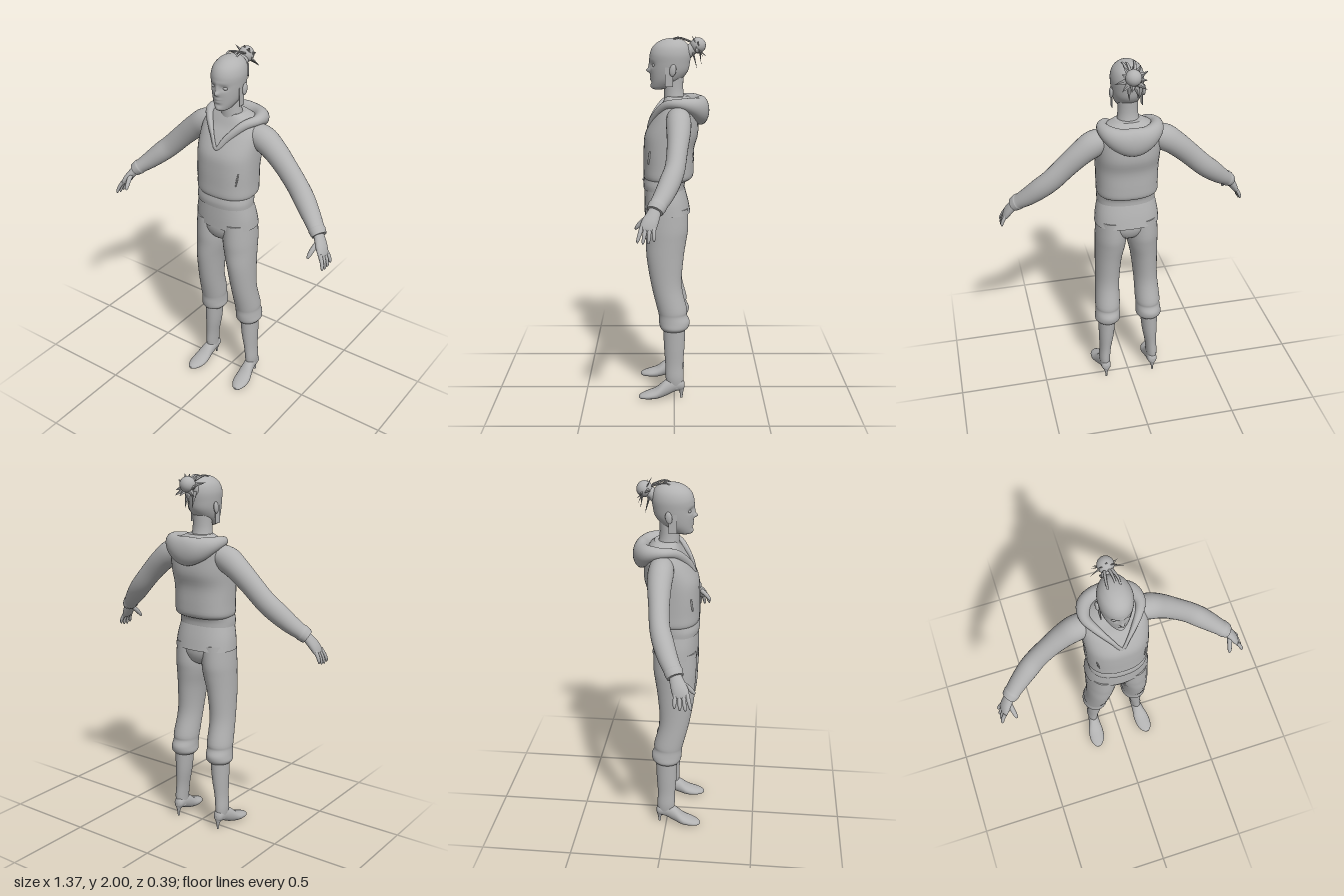
import * as THREE from 'three';

const grey = new THREE.MeshStandardMaterial({ color: 0xb2b2b2 });
grey.name = 'grey';
grey.side = THREE.DoubleSide;

const UP = new THREE.Vector3(0, 1, 0);
const FORWARD = new THREE.Vector3(0, 0, 1);

// Smooth interpolation of a list of number rows
function refine(rows, steps, closed) {
  const n = rows.length, out = [];
  const at = (i) => rows[closed ? (i + n) % n : Math.min(Math.max(i, 0), n - 1)];
  const spans = closed ? n : n - 1;
  for (let i = 0; i < spans; i++) {
    const [a, b, c, d] = [at(i - 1), at(i), at(i + 1), at(i + 2)];
    for (let s = 0; s < steps; s++) {
      const t = s / steps;
      out.push(b.map((p, k) => p + 0.5 * t * (c[k] - a[k] + t * (2 * a[k] - 5 * p + 4 * c[k] - d[k]
        + t * (3 * (p - c[k]) + d[k] - a[k])))));
    }
  }
  if (!closed) out.push(rows[n - 1]);
  return out;
}

// Skin over cross-sections [x, y, z, radiusU, radiusV]; axis fixes the section plane
function loft(rows, { axis, hint = FORWARD, sides = 28, steps = 4, power = 2, closed = false, warp } = {}) {
  const rings = refine(rows, steps, closed), n = rings.length;
  const pos = [], index = [];
  const centre = (i) => new THREE.Vector3(...rings[closed ? (i + n) % n : Math.min(Math.max(i, 0), n - 1)].slice(0, 3));
  rings.forEach((r, i) => {
    const T = axis ? axis.clone() : centre(i + 1).sub(centre(i - 1)).normalize();
    const U = T.clone().cross(hint).normalize(), V = U.clone().cross(T);
    for (let j = 0; j < sides; j++) {
      const a = (j / sides) * Math.PI * 2, c = Math.cos(a), s = Math.sin(a);
      const u = Math.sign(c) * Math.abs(c) ** (2 / power) * Math.max(r[3], 0.0005);
      const v = Math.sign(s) * Math.abs(s) ** (2 / power) * Math.max(r[4], 0.0005);
      const p = centre(i).addScaledVector(U, u).addScaledVector(V, v);
      if (warp) warp(p);
      pos.push(p.x, p.y, p.z);
    }
  });
  for (let i = 0; i < (closed ? n : n - 1); i++) {
    for (let j = 0; j < sides; j++) {
      const k = (j + 1) % sides, m = ((i + 1) % n) * sides;
      const a = i * sides + j, b = i * sides + k;
      index.push(a, m + j, b, b, m + j, m + k);
    }
  }
  // End caps have their own vertices so the rim stays sharp
  if (!closed) {
    for (const i of [0, n - 1]) {
      const base = pos.length / 3;
      pos.push(...pos.slice(i * sides * 3, (i + 1) * sides * 3), ...rings[i].slice(0, 3));
      for (let j = 0; j < sides; j++) {
        const k = (j + 1) % sides;
        if (i === 0) index.push(base + sides, base + j, base + k);
        else index.push(base + sides, base + k, base + j);
      }
    }
  }
  const g = new THREE.BufferGeometry();
  g.setAttribute('position', new THREE.Float32BufferAttribute(pos, 3));
  g.setIndex(index);
  g.computeVertexNormals();
  return g;
}

function mirrored(g) {
  const m = g.clone().scale(-1, 1, 1), a = m.index.array;
  for (let i = 0; i < a.length; i += 3) [a[i], a[i + 1]] = [a[i + 1], a[i]];
  return m;
}

export function createModel() {
  const model = new THREE.Group();
  model.name = 'standingFigure';
  const add = (name, g) => {
    const mesh = new THREE.Mesh(g, grey);
    mesh.name = name;
    model.add(mesh);
  };
  const pair = (name, g) => {
    add(name + 'Left', g);
    add(name + 'Right', mirrored(g));
  };
  const upright = { axis: UP, sides: 36 };

  // Hooded top, waistband and shirt hem
  add('hoodieBody', loft([
    [0, 1.23, 0.037, 0.152, 0.115], [0, 1.25, 0.033, 0.166, 0.135], [0, 1.31, 0.031, 0.167, 0.137],
    [0, 1.4, 0.029, 0.169, 0.137], [0, 1.48, 0.014, 0.172, 0.143], [0, 1.56, -0.006, 0.173, 0.121],
    [0, 1.61, -0.02, 0.166, 0.1], [0, 1.65, -0.022, 0.13, 0.082], [0, 1.68, -0.015, 0.07, 0.06]],
  { ...upright, power: 2.4 }));
  add('waistband', loft([
    [0, 1.18, 0.055, 0.16, 0.112], [0, 1.21, 0.055, 0.161, 0.114], [0, 1.245, 0.045, 0.158, 0.118]],
  { ...upright, power: 2.3 }));
  add('shirtHem', loft([
    [0, 1.05, 0.038, 0.178, 0.126], [0, 1.12, 0.045, 0.171, 0.119], [0, 1.2, 0.055, 0.154, 0.107]],
  { ...upright, power: 2.3 }));

  // Hood lying on the shoulders, narrowing to a V at the chest
  const half = [
    [0.045, 1.57, 0.112, 0.01, 0.018], [0.105, 1.635, 0.05, 0.02, 0.024],
    [0.142, 1.65, -0.02, 0.028, 0.027], [0.123, 1.638, -0.09, 0.041, 0.045],
    [0.07, 1.615, -0.13, 0.046, 0.065]];
  add('hood', loft([
    [0, 1.512, 0.139, 0.008, 0.012], ...half, [0, 1.603, -0.142, 0.046, 0.078],
    ...half.map(([x, ...r]) => [-x, ...r]).reverse()], { hint: UP, closed: true, steps: 5 }));
  pair('pocketSlit', loft([
    [0.122, 1.33, 0.138, 0.002, 0.004], [0.127, 1.365, 0.134, 0.004, 0.006], [0.132, 1.4, 0.129, 0.002, 0.004]],
  { sides: 8 }));

  // Sleeves with a gathered cuff
  pair('sleeve', loft([
    [0.09, 1.595, -0.02, 0.045, 0.055], [0.18, 1.562, -0.022, 0.07, 0.066], [0.25, 1.515, -0.022, 0.065, 0.062],
    [0.33, 1.442, -0.015, 0.06, 0.054], [0.41, 1.362, -0.003, 0.058, 0.052], [0.47, 1.307, 0.02, 0.056, 0.054],
    [0.53, 1.252, 0.05, 0.048, 0.05], [0.575, 1.214, 0.077, 0.04, 0.045], [0.585, 1.206, 0.083, 0.042, 0.047],
    [0.607, 1.187, 0.095, 0.036, 0.042]]));

  // Hands
  pair('palm', loft([
    [0.595, 1.2, 0.09, 0.024, 0.029], [0.62, 1.165, 0.105, 0.023, 0.036], [0.64, 1.135, 0.12, 0.021, 0.041],
    [0.655, 1.108, 0.13, 0.015, 0.039], [0.659, 1.1, 0.132, 0.008, 0.03]], { sides: 20 }));
  [0.012, 0.002, 0, 0.006].forEach((lift, i) => {
    const o = i - 1.5;
    pair('finger' + (i + 1), loft([
      [0.651, 1.12, 0.129 + o * 0.019, 0.011, 0.011], [0.67, 1.085 + lift / 2, 0.133 + o * 0.023, 0.01, 0.01],
      [0.679, 1.055 + lift, 0.137 + o * 0.026, 0.008, 0.008], [0.68, 1.042 + lift, 0.138 + o * 0.027, 0.003, 0.003]],
    { sides: 10 }));
  });
  pair('thumb', loft([
    [0.617, 1.165, 0.12, 0.015, 0.014], [0.608, 1.135, 0.158, 0.013, 0.013],
    [0.602, 1.108, 0.182, 0.01, 0.01], [0.6, 1.096, 0.19, 0.004, 0.004]], { sides: 10, hint: new THREE.Vector3(1, 0, 0) }));

  // Trousers
  add('trouserHips', loft([
    [0, 0.95, 0.042, 0.025, 0.05], [0, 0.975, 0.042, 0.09, 0.095],
    [0, 1.03, 0.042, 0.166, 0.117], [0, 1.1, 0.043, 0.163, 0.114]], upright));
  pair('trouserLeg', loft([
    [0.122, 0.4, 0.003, 0.06, 0.066], [0.122, 0.418, 0, 0.073, 0.08], [0.121, 0.45, 0, 0.071, 0.085],
    [0.119, 0.485, 0.008, 0.069, 0.078], [0.118, 0.52, 0.012, 0.071, 0.082], [0.112, 0.65, 0.042, 0.068, 0.083],
    [0.103, 0.8, 0.05, 0.075, 0.1], [0.092, 0.9, 0.045, 0.085, 0.11], [0.088, 0.97, 0.042, 0.088, 0.117],
    [0.085, 1.08, 0.042, 0.084, 0.115]], upright));

  // Heeled boots
  pair('bootShaft', loft([
    [0.142, 0.06, -0.005, 0.027, 0.042], [0.144, 0.12, -0.002, 0.032, 0.05], [0.138, 0.2, 0, 0.034, 0.05],
    [0.13, 0.3, 0, 0.044, 0.057], [0.125, 0.43, 0, 0.051, 0.062]], { axis: UP }));
  pair('bootFoot', loft([
    [0.142, 0.075, -0.058, 0.008, 0.012], [0.142, 0.08, -0.045, 0.026, 0.032], [0.143, 0.08, 0, 0.03, 0.043],
    [0.148, 0.06, 0.05, 0.036, 0.046], [0.154, 0.033, 0.1, 0.046, 0.031], [0.158, 0.023, 0.15, 0.043, 0.021],
    [0.162, 0.017, 0.185, 0.026, 0.014], [0.164, 0.015, 0.198, 0.008, 0.006]], { axis: FORWARD, hint: UP }));
  pair('bootHeel', loft([
    [0.142, 0, -0.04, 0.006, 0.007], [0.142, 0.03, -0.04, 0.008, 0.01], [0.142, 0.065, -0.034, 0.022, 0.024]],
  { axis: UP, sides: 14 }));

  // Neck and head; bumps are [x, y, width, height, depth]
  add('neck', loft([
    [0, 1.62, -0.01, 0.07, 0.065], [0, 1.7, 0.003, 0.054, 0.052], [0, 1.79, 0, 0.052, 0.05]], upright));
  const bumps = [
    [0, 1.838, 0.008, 0.022, 0.009], [0, 1.814, 0.011, 0.011, 0.02], [0, 1.872, 0.05, 0.009, 0.003],
    [0.034, 1.845, 0.016, 0.012, -0.01], [-0.034, 1.845, 0.016, 0.012, -0.01],
    [0, 1.783, 0.018, 0.005, 0.006], [0, 1.768, 0.016, 0.005, 0.006], [0, 1.752, 0.02, 0.006, -0.003],
    [0, 1.732, 0.018, 0.01, 0.005]];
  const sculptFace = (p) => {
    if (p.z < 0.05) return;
    const { x, y } = p;
    for (const [bx, by, w, h, d] of bumps) p.z += d * Math.exp(-(((x - bx) / w) ** 2) - ((y - by) / h) ** 2);
  };
  add('head', loft([
    [0, 1.714, 0.085, 0.015, 0.02], [0, 1.722, 0.075, 0.035, 0.045], [0, 1.74, 0.06, 0.05, 0.064],
    [0, 1.77, 0.042, 0.066, 0.083], [0, 1.81, 0.028, 0.077, 0.1], [0, 1.855, 0.023, 0.083, 0.106],
    [0, 1.9, 0.021, 0.085, 0.109], [0, 1.94, 0.017, 0.074, 0.096], [0, 1.968, 0.012, 0.05, 0.066],
    [0, 1.98, 0.01, 0.024, 0.032], [0, 1.983, 0.01, 0, 0]], { axis: UP, sides: 72, steps: 7, warp: sculptFace }));
  pair('eye', new THREE.SphereGeometry(0.013, 16, 12).scale(1.1, 0.7, 1).translate(0.034, 1.843, 0.105));
  pair('ear', new THREE.SphereGeometry(1, 16, 12).scale(0.01, 0.032, 0.018).rotateX(-0.15).translate(0.085, 1.82, 0.008));

  // Hair: locks before the ears, strands on the crown and a spiky bun
  pair('sideLock', new THREE.BoxGeometry(0.003, 0.1, 0.042).translate(0.079, 1.785, 0.028));
  for (const [x, z] of [[-0.03, -0.02], [0.01, -0.03], [0.03, -0.025]]) {
    add('crownStrand', loft([
      [x, 1.968, z + 0.045, 0.003, 0.003], [x, 1.985, z, 0.006, 0.004],
      [x * 0.6, 1.965, -0.085, 0.008, 0.005]], { hint: UP, sides: 8 }));
  }
  add('hairBun', new THREE.SphereGeometry(0.042, 20, 14).translate(0, 1.945, -0.125));
  add('bunBase', loft([[0, 1.9, -0.05, 0.04, 0.04], [0, 1.93, -0.1, 0.03, 0.03]], { sides: 16 }));
  for (let i = 0; i < 11; i++) {
    const a = (i / 11) * Math.PI * 2, len = 0.05 + 0.014 * ((i * 7) % 3);
    const blade = new THREE.ConeGeometry(0.021, len, 4).scale(1, 1, 0.25).translate(0, len / 2, 0);
    blade.rotateX(-0.35 + 0.35 * (i % 3)).translate(0, 0.02, 0).rotateZ(a);
    blade.rotateX(0.5).translate(0, 1.935, -0.125);
    // Keep the tips inside the overall height
    const p = blade.attributes.position;
    for (let k = 0; k < p.count; k++) p.setY(k, Math.min(p.getY(k), 2));
    add('bunSpike', blade);
  }
  for (const x of [-0.025, 0.02]) {
    add('looseLock', new THREE.ConeGeometry(0.016, 0.09, 4).scale(1, 1, 0.35).rotateX(Math.PI + 0.25).translate(x, 1.865, -0.11));
  }
  return model;
}
